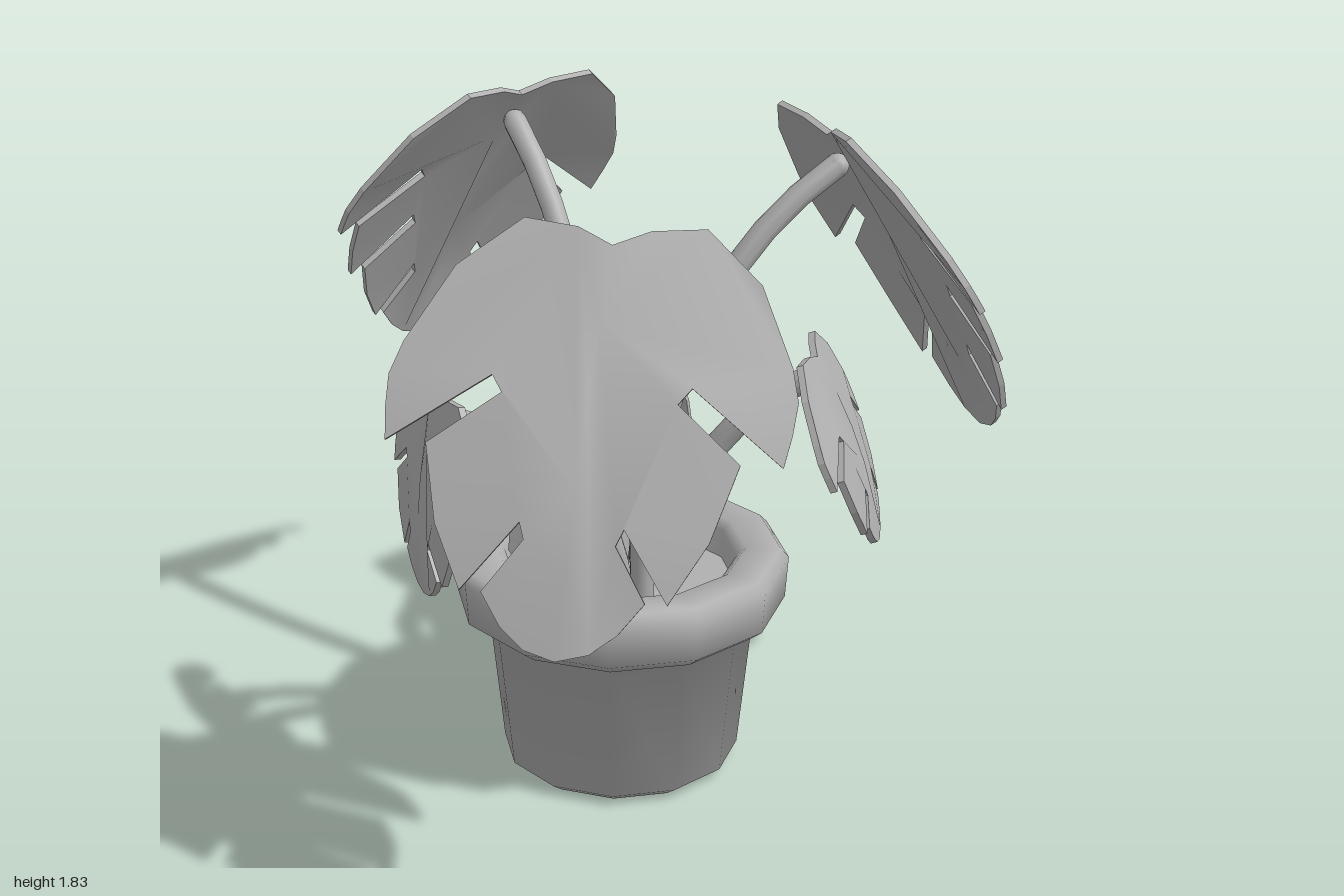
import * as THREE from 'three';
import { toCreasedNormals, mergeGeometries } from 'three/addons/utils/BufferGeometryUtils.js';

const STEM_RADIUS = .034;

// Half outlines from notch to tip: [share of half width, share of length]
const shoulder = [[.18, -.03], [.45, -.045], [.75, .08], [.95, .27]];
const plain = [...shoulder, [.66, .55]];

// Oval edge split into narrowing lobes by slots at the given angles
function lobed(cuts) {
  const stops = [0, ...cuts, 75];
  const points = [...shoulder];
  for (let i = 0; i <= cuts.length; i++) {
    const width = Math.pow(.62, i / cuts.length);
    const rim = (degrees) => {
      const a = THREE.MathUtils.degToRad(degrees);
      return [width * Math.cos(a), .35 + .65 * Math.sin(a)];
    };
    const [u, v] = rim(stops[i + 1]);
    points.push(rim(stops[i]), rim((stops[i] + stops[i + 1]) / 2), [u, v]);
    if (i < cuts.length) points.push([u * .5, v - .17], [u * .44, v - .13]);
  }
  return points;
}
const twoCuts = lobed([14, 50]);
const threeCuts = lobed([8, 28, 54]);

// Directions of a leaf: down its midrib, across to its right edge, and outward
function leafFrame({ base, tip, side }) {
  const start = new THREE.Vector3(...base);
  const along = new THREE.Vector3(...tip).sub(start);
  const across = new THREE.Vector3(...side);
  return { start, along, across, normal: along.clone().cross(across).normalize() };
}

// Domed blade with a little thickness, in two halves that share the midrib
function leafGeometry({ start, along, across, normal }, right, left) {
  const bulge = .056 * along.length(), curl = .11 * across.length();
  const rim = [[0, .01], ...right, [0, 1], ...left.map(([u, v]) => [-u, v]).reverse()];
  const midrib = [.2, .4, .6, .8].map((v) => [0, v]);
  const outline = [...rim, ...midrib];
  const layer = (depth) => outline.map(([u, v]) => start.clone()
    .addScaledVector(across, u).addScaledVector(along, v)
    .addScaledVector(normal, 4 * bulge * v * (1 - v) - curl * u * u - depth));
  const front = layer(0), back = layer(.018);

  const edge = [...rim.keys()];
  const rib = midrib.map((_, i) => rim.length + i);
  const tipIndex = right.length + 1;
  const halves = [
    [...edge.slice(0, tipIndex + 1), ...[...rib].reverse()],
    [...edge.slice(tipIndex), 0, ...rib],
  ];
  const faces = [];
  for (const half of halves) {
    const flat = half.map((i) => new THREE.Vector2(outline[i][0], -outline[i][1]));
    for (const [a, b, c] of THREE.ShapeUtils.triangulateShape(flat, [])) {
      const ccw = THREE.ShapeUtils.area([flat[a], flat[b], flat[c]]) > 0;
      faces.push(ccw ? [half[a], half[b], half[c]] : [half[a], half[c], half[b]]);
    }
  }
  const surface = (points, index) => {
    const geometry = new THREE.BufferGeometry().setFromPoints(points);
    geometry.setIndex(index);
    geometry.computeVertexNormals();
    return geometry.toNonIndexed();
  };
  const wall = edge.flatMap((a) => {
    const b = (a + 1) % rim.length;
    return [front[a], front[b], back[a], front[b], back[b], back[a]];
  });
  return mergeGeometries([
    surface(front, faces.flat()),
    surface(back, faces.flatMap(([a, b, c]) => [a, c, b])),
    surface(wall, [...wall.keys()]),
  ]);
}

// Stalk rising from the soil and arching over to the back of its leaf
function stemGeometry([x, z], { start, along, normal }) {
  const foot = new THREE.Vector3(x, .5, z);
  const end = start.clone().addScaledVector(along, .1).addScaledVector(normal, -.03);
  const bend = foot.clone().lerp(end, .1);
  bend.y = THREE.MathUtils.lerp(foot.y, end.y, .73);
  const curve = new THREE.QuadraticBezierCurve3(foot, bend, end);
  const cap = new THREE.SphereGeometry(STEM_RADIUS, 8, 6).translate(end.x, end.y, end.z);
  return mergeGeometries([new THREE.TubeGeometry(curve, 10, STEM_RADIUS, 8), cap]);
}

// root is the stem's x and z in the soil, side the half width of the leaf
const plants = [
  { name: 'frontLeaf', root: [.05, -.03], base: [.17, 1.73, .56], tip: [.17, .85, .98],
    side: [.46, -.02, -.11], right: twoCuts, left: twoCuts },
  { name: 'backRightLeaf', root: [-.03, -.24], base: [.4, 1.73, -.56], tip: [.83, .86, -.78],
    side: [-.3, 0, -.35], right: twoCuts, left: threeCuts },
  { name: 'backLeftLeaf', root: [-.1, -.19], base: [-.44, 1.8, -.44], tip: [-.86, .99, -.65],
    side: [-.24, 0, .4], right: threeCuts, left: twoCuts },
  { name: 'rightLeaf', root: [.08, -.13], base: [.48, 1.23, -.17], tip: [.67, .73, -.17],
    side: [-.04, 0, -.29], right: twoCuts, left: twoCuts },
  { name: 'leftLeaf', root: [-.04, -.12], base: [-.43, 1.14, .23], tip: [-.47, .59, .26],
    side: [.2, 0, .22], right: twoCuts, left: twoCuts },
  { name: 'smallFrontLeaf', root: [-.03, .03], base: [-.08, .94, .35], tip: [.05, .6, .36],
    side: [.15, .05, 0], right: plain, left: plain },
  { name: 'smallBackLeaf', root: [-.1, -.26], base: [-.11, .94, -.64], tip: [-.22, .6, -.65],
    side: [-.15, .05, -.01], right: plain, left: plain },
];

export function createModel() {
  const model = new THREE.Group();
  model.name = 'pottedPlant';
  const grey = new THREE.MeshStandardMaterial({ color: 0xb0b0b0 });
  grey.name = 'grey';
  const add = (parent, name, geometry) => {
    const mesh = new THREE.Mesh(geometry, grey);
    mesh.name = name;
    parent.add(mesh);
    return mesh;
  };

  // Twelve-sided pot with a thick rounded rim
  const profile = [[0, 0], [.29, 0], [.33, .03], [.37, .44], [.41, .455], [.455, .49], [.463, .61],
    [.44, .635], [.345, .635], [.32, .61], [.315, .48]].map(([r, y]) => new THREE.Vector2(r, y));
  const pot = add(model, 'pot', toCreasedNormals(new THREE.LatheGeometry(profile, 12, Math.PI / 12), 1.2));
  pot.position.set(-.04, 0, -.11);

  // Soil inside the rim
  const soil = add(model, 'soil', new THREE.CircleGeometry(.33, 12));
  soil.rotation.set(-Math.PI / 2, 0, Math.PI / 12);
  soil.position.set(-.04, .53, -.11);

  // Leaves, each on its own stem
  for (const plant of plants) {
    const group = new THREE.Group();
    group.name = plant.name;
    const frame = leafFrame(plant);
    add(group, 'stem', stemGeometry(plant.root, frame));
    add(group, 'blade', leafGeometry(frame, plant.right, plant.left));
    model.add(group);
  }
  return model;
}
